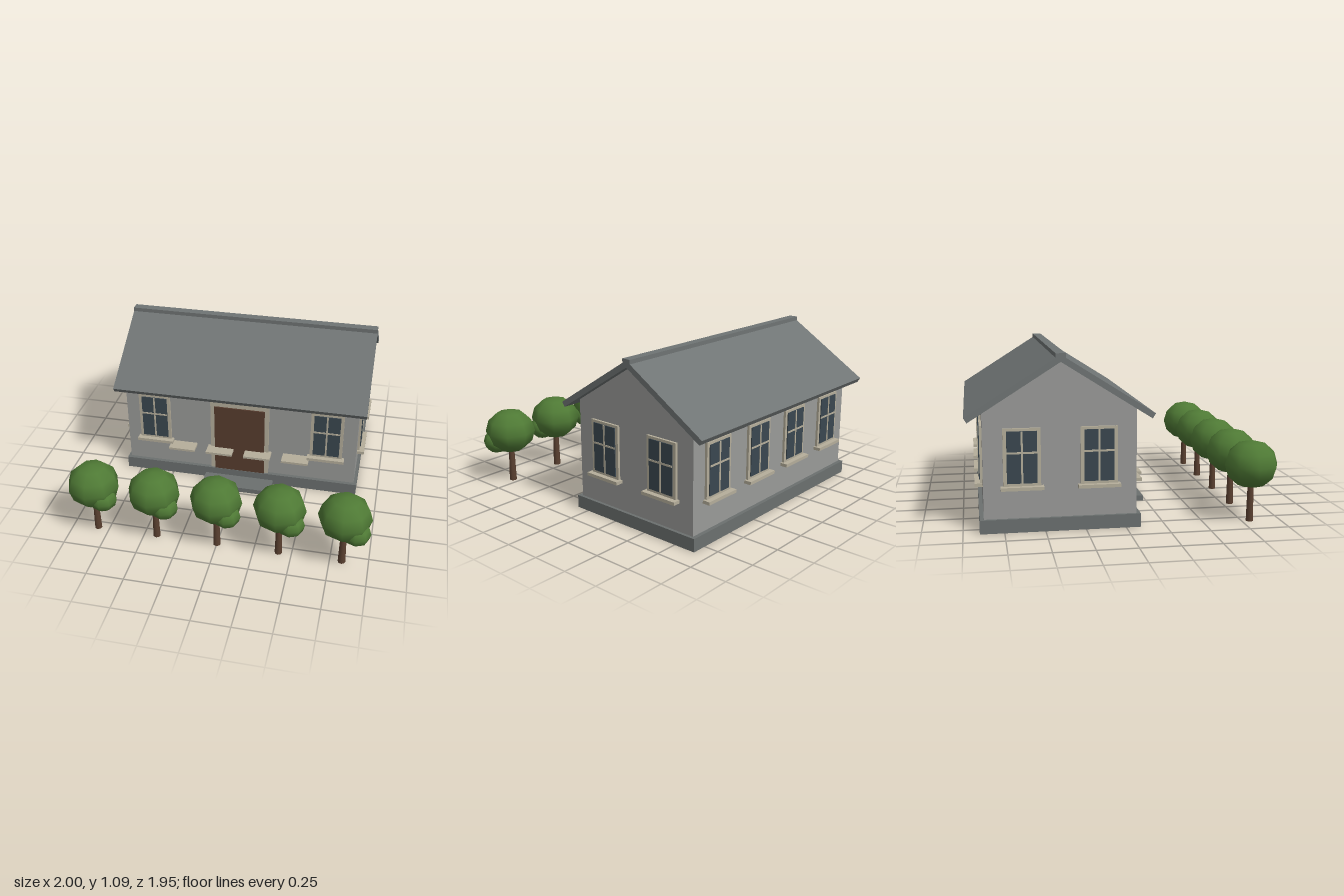
import * as THREE from 'three';

const mat = (name, color) => {
  const m = new THREE.MeshStandardMaterial({ color });
  m.name = name;
  return m;
};

export function createModel() {
  const stone = mat('wallGrey', 0x999a98);
  const slate = mat('slateGrey', 0x6f7474);
  const base = mat('foundationGrey', 0x6b706f);
  const trim = mat('trimBeige', 0xb5ae9b);
  const glass = mat('glassBlue', 0x3a4750);
  const doorBrown = mat('doorBrown', 0x573c2e);
  const leaf = mat('leafGreen', 0x4f7a35);
  const bark = mat('barkBrown', 0x5a4030);

  const model = new THREE.Group();
  model.name = 'houseWithTrees';

  const add = (parent, name, geometry, material, x = 0, y = 0, z = 0) => {
    const m = new THREE.Mesh(geometry, material);
    m.name = name;
    m.position.set(x, y, z);
    parent.add(m);
    return m;
  };
  const box = (parent, name, material, w, h, d, x, y, z) =>
    add(parent, name, new THREE.BoxGeometry(w, h, d), material, x, y, z);

  // House, centred on its own ridge line
  const house = new THREE.Group();
  house.name = 'house';
  house.position.z = -0.404;
  model.add(house);

  // Cross-section (z, y) extruded along the length of the house
  const alongX = (points, length) => {
    const shape = new THREE.Shape(points.map(([a, b]) => new THREE.Vector2(a, b)));
    return new THREE.ExtrudeGeometry(shape, { depth: length, bevelEnabled: false })
      .translate(0, 0, -length / 2)
      .rotateY(Math.PI / 2);
  };

  const W = 0.83, D = 0.47;
  box(house, 'foundation', base, 1.7, 0.085, 0.992, 0, 0.0425, 0);
  box(house, 'doorStep', base, 0.5, 0.035, 0.16, 0, 0.0175, 0.554);
  add(house, 'walls', alongX([[-D, 0.085], [D, 0.085], [D, 0.744], [0, 1.04], [-D, 0.744]], 2 * W), stone);
  add(house, 'roof', alongX([
    [-0.557, 0.688], [0, 1.04], [0.557, 0.688], [0.576, 0.719], [0, 1.083], [-0.576, 0.719],
  ], 1.77), slate);
  box(house, 'ridgeCap', slate, 1.77, 0.036, 0.06, 0, 1.073, 0);

  // Window facing +z, turned to suit its wall
  const addWindow = (x, z, turn) => {
    const w = new THREE.Group();
    w.name = 'window';
    w.position.set(x, 0, z);
    w.rotation.y = turn;
    house.add(w);
    box(w, 'windowFrame', trim, 0.228, 0.355, 0.016, 0, 0.465, 0.008);
    box(w, 'windowGlass', glass, 0.184, 0.32, 0.007, 0, 0.466, 0.0185);
    box(w, 'verticalBar', trim, 0.012, 0.32, 0.004, 0, 0.466, 0.023);
    box(w, 'horizontalBar', trim, 0.184, 0.012, 0.004, 0, 0.494, 0.023);
    box(w, 'windowSill', trim, 0.262, 0.021, 0.05, 0, 0.278, 0.025);
  };
  for (const s of [-1, 1]) {
    addWindow(s * 0.62, D, 0);
    for (const x of [0.2, 0.61]) addWindow(s * x, -D, Math.PI);
    for (const z of [-0.235, 0.235]) addWindow(s * W, z, s * Math.PI / 2);
    // Ledges projecting along the front wall
    for (const x of [0.137, 0.41]) box(house, 'frontLedge', trim, 0.19, 0.016, 0.098, s * x, 0.261, D + 0.049);
  }

  // Front door
  box(house, 'doorFrame', trim, 0.42, 0.56, 0.014, 0, 0.365, D + 0.007);
  box(house, 'door', doorBrown, 0.36, 0.525, 0.009, 0, 0.3475, D + 0.0185);

  // Row of round trees
  for (const x of [-0.828, -0.414, 0, 0.414, 0.828]) {
    const tree = new THREE.Group();
    tree.name = 'tree';
    tree.position.set(x, 0, 0.803);
    model.add(tree);
    add(tree, 'trunk', new THREE.CylinderGeometry(0.018, 0.025, 0.28, 8), bark, 0, 0.14, 0);
    add(tree, 'crown', new THREE.SphereGeometry(0.172, 8, 6).scale(1, 0.89, 1), leaf, 0, 0.37, 0);
    add(tree, 'lowerFoliage', new THREE.SphereGeometry(0.092, 8, 6).scale(1, 0.89, 1), leaf, 0.08, 0.3, 0.055);
  }
  return model;
}
